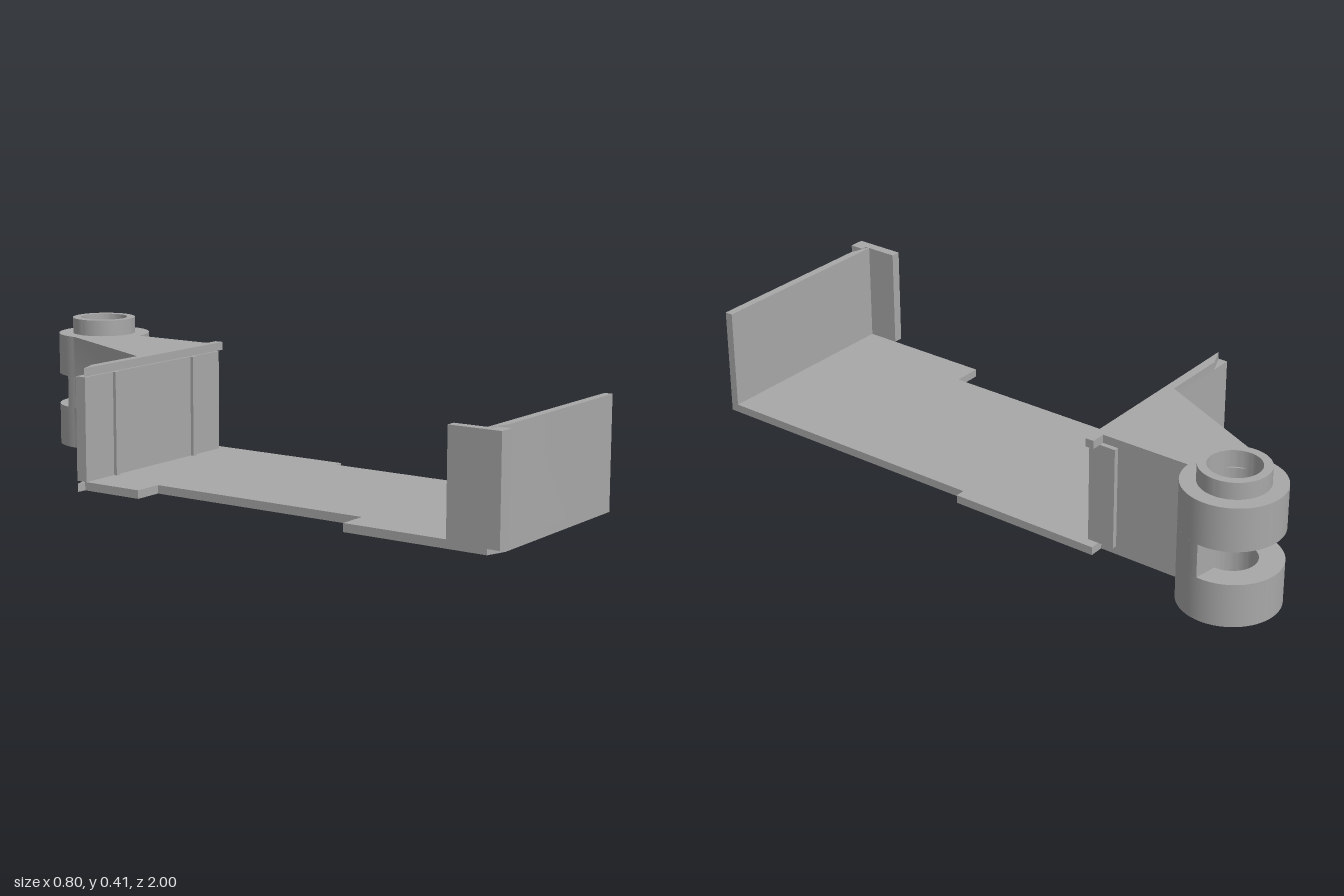
import * as THREE from 'three';
import { toCreasedNormals } from 'three/addons/utils/BufferGeometryUtils.js';

export function createModel() {
  const model = new THREE.Group();
  const grey = new THREE.MeshStandardMaterial({ color: 0xa8a8a8 });
  grey.name = 'plain grey';

  // Upright prism from a plan shape drawn in (x, z)
  function prism(name, shape, y0, y1) {
    const geo = new THREE.ExtrudeGeometry(shape, { depth: y1 - y0, bevelEnabled: false, curveSegments: 32 });
    geo.rotateX(Math.PI / 2);
    geo.translate(0, y1, 0);
    const mesh = new THREE.Mesh(toCreasedNormals(geo, 0.5), grey);
    mesh.name = name;
    model.add(mesh);
  }
  const plan = (points) => new THREE.Shape(points.map(([x, z]) => new THREE.Vector2(x, z)));

  function box(name, x0, x1, y0, y1, z0, z1) {
    const mesh = new THREE.Mesh(new THREE.BoxGeometry(x1 - x0, y1 - y0, z1 - z0), grey);
    mesh.position.set((x0 + x1) / 2, (y0 + y1) / 2, (z0 + z1) / 2);
    mesh.name = name;
    model.add(mesh);
  }

  // Floor plate with stepped sides
  prism('floorPlate', plan([
    [0.27, 0.965], [-0.31, 0.965], [-0.37, 0.945], [-0.37, 0.5], [-0.28, 0.5], [-0.28, -0.21],
    [-0.37, -0.21], [-0.37, -0.41], [-0.4, -0.412], [-0.3, -0.44], [0.3, -0.44], [0.3, 0.04], [0.27, 0.04],
  ]), 0, 0.025);

  // Front wall and the L-shaped post at its corner
  prism('frontWall', plan([
    [-0.37, 0.94], [0.27, 0.94], [0.27, 0.965], [-0.31, 0.965], [-0.37, 0.945],
  ]), 0.025, 0.335);
  prism('cornerPost', plan([
    [-0.4, 0.84], [-0.37, 0.84], [-0.37, 0.957], [-0.352, 0.957], [-0.352, 1], [-0.4, 1],
  ]), 0.025, 0.335);

  // Rear wall, top lip, side flange and ribs
  box('rearWall', -0.37, 0.27, 0.025, 0.335, -0.44, -0.405);
  prism('rearLip', plan([[-0.365, -0.413], [-0.3, -0.44], [0.3, -0.44], [0.3, -0.413]]), 0.335, 0.36);
  box('sideFlange', 0.25, 0.27, 0.025, 0.335, -0.49, -0.43);
  for (const x of [-0.235, 0.135]) box('rib', x - 0.009, x + 0.009, 0.025, 0.335, -0.41, -0.395);

  // Hinge arm ending in a bored barrel
  const cx = 0.255, cz = -0.86, R = 0.145, bore = 0.075;
  const addBore = (shape) => {
    shape.holes.push(new THREE.Path().absarc(cx, cz, bore, 0, Math.PI * 2, false));
    return shape;
  };
  const armStart = () => new THREE.Shape().moveTo(-0.09, -0.44).lineTo(cx, -0.44).lineTo(cx, cz + R);
  const full = addBore(armStart().absarc(cx, cz, R, Math.PI / 2, -Math.PI, true));
  prism('hingeArmLower', full, 0, 0.13);
  prism('hingeArmUpper', full, 0.23, 0.36);

  // Middle layer is cut away behind the bore to leave a slot
  const slotted = armStart()
    .absarc(cx, cz, R, Math.PI / 2, 0.1, true)
    .absarc(cx, cz, bore, 0.04, Math.PI + 0.31, false)
    .absarc(cx, cz, R, Math.PI + 0.24, Math.PI, true);
  prism('hingeArmMiddle', slotted, 0.13, 0.23);
  box('armTab', 0.25, 0.268, 0.13, 0.23, -0.715, -0.695);

  // Raised collar on the barrel
  prism('hingeCollar', addBore(new THREE.Shape().absarc(cx, cz, 0.1, 0, Math.PI * 2, false)), 0.36, 0.41);

  return model;
}
